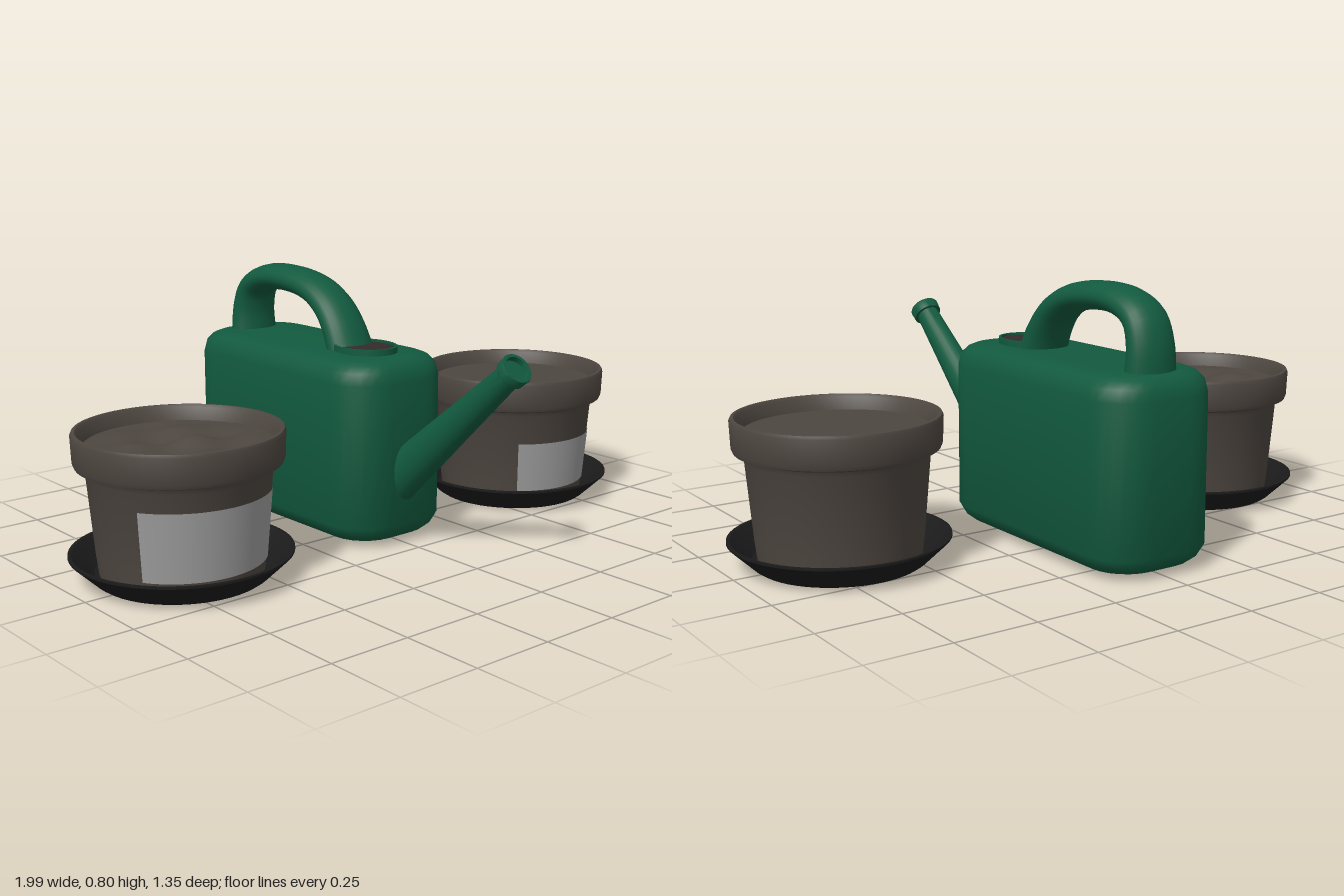
import * as THREE from 'three';
import { toCreasedNormals } from 'three/addons/utils/BufferGeometryUtils.js';

const mat = (name, color) => Object.assign(new THREE.MeshStandardMaterial({ color }), { name });

// Skin a closed tube over equal-sized rings and cap both ends.
function loft(rings, crease = 0.6) {
  const n = rings[0].length, pos = [], idx = [];
  for (const r of rings) for (const p of r) pos.push(p.x, p.y, p.z);
  for (let i = 0; i < rings.length - 1; i++)
    for (let j = 0; j < n; j++) {
      const k = (j + 1) % n, a = i * n, b = a + n;
      idx.push(a + j, a + k, b + k, a + j, b + k, b + j);
    }
  const last = (rings.length - 1) * n;
  for (let j = 1; j < n - 1; j++) {
    idx.push(0, j + 1, j);
    idx.push(last, last + j, last + j + 1);
  }
  const g = new THREE.BufferGeometry();
  g.setAttribute('position', new THREE.Float32BufferAttribute(pos, 3));
  g.setIndex(idx);
  return toCreasedNormals(g, crease);
}

// Rounded rectangle ring at height y, drawn in by an inset.
function roundedRing(y, inset) {
  const hx = 0.195 - inset, hz = 0.44 - inset, r = Math.max(0.13 - inset * 0.5, 0.06);
  const ring = [];
  [[1, 1], [-1, 1], [-1, -1], [1, -1]].forEach(([sx, sz], q) => {
    for (let i = 0; i <= 6; i++) {
      const a = (q + i / 6) * Math.PI / 2;
      ring.push(new THREE.Vector3(
        sx * (hx - r) + r * Math.cos(a), y, -0.24 - sz * (hz - r) - r * Math.sin(a)));
    }
  });
  return ring;
}

// Elliptical sweep along a path in the y-z plane; size(t) gives [half width, half depth].
function sweep(points, size, steps, sides = 24) {
  const curve = new THREE.CatmullRomCurve3(points.map(([z, y]) => new THREE.Vector3(0, y, z)));
  const rings = [];
  for (let i = 0; i <= steps; i++) {
    const t = i / steps, c = curve.getPointAt(t), d = curve.getTangentAt(t), [w, h] = size(t);
    rings.push(Array.from({ length: sides }, (_, j) => {
      const a = j / sides * Math.PI * 2, s = Math.sin(a) * h;
      return new THREE.Vector3(Math.cos(a) * w, c.y + s * d.z, c.z - s * d.y);
    }));
  }
  return loft(rings);
}

function lathe(points, segments = 56) {
  return toCreasedNormals(
    new THREE.LatheGeometry(points.map(([r, y]) => new THREE.Vector2(r, y)), segments), 0.6);
}

export function createModel() {
  const green = mat('can green', 0x125a3f);
  const clay = mat('pot brown', 0x4d4640);
  const black = mat('saucer black', 0x1c1b1b);
  const dark = mat('opening dark', 0x322d2b);
  const label = mat('label grey', 0x9c9c9c);
  label.side = THREE.DoubleSide;

  const model = new THREE.Group();
  const add = (parent, name, geometry, material) => {
    const m = new THREE.Mesh(geometry, material);
    m.name = name;
    parent.add(m);
    return m;
  };

  // Watering can
  const can = new THREE.Group();
  can.name = 'wateringCan';
  model.add(can);
  add(can, 'canBody', loft([
    [0.003, 0.085], [0.018, 0.035], [0.035, 0.015], [0.065, 0], [0.505, 0],
    [0.54, 0.008], [0.56, 0.025], [0.569, 0.045], [0.572, 0.08],
  ].map(([y, i]) => roundedRing(y, i))), green);

  add(can, 'handle', sweep(
    [[-0.065, 0.55], [-0.1, 0.625], [-0.15, 0.688], [-0.23, 0.735], [-0.36, 0.757],
      [-0.48, 0.748], [-0.55, 0.71], [-0.576, 0.64], [-0.577, 0.55]],
    t => {
      const e = Math.abs(t - 0.5) * 2;
      return [0.068 + 0.016 * e * e, 0.042 + 0.012 * e * e];
    }, 40), green);

  // Filler opening with a low collar
  const collar = add(can, 'openingCollar', lathe(
    [[0.09, 0.565], [0.09, 0.591], [0.083, 0.591], [0.083, 0.58]], 40), green);
  const hole = add(can, 'opening', new THREE.CircleGeometry(0.084, 40).rotateX(-Math.PI / 2), dark);
  hole.position.y = 0.584;
  for (const m of [collar, hole]) {
    m.scale.z = 1.22;
    m.position.z = 0;
  }

  // Spout and its hollow tip
  add(can, 'spout', sweep([[0.12, 0.166], [0.38, 0.391], [0.62, 0.598]],
    t => [0.06 - 0.024 * t, 0.075 - 0.039 * t], 12), green);
  const tip = add(can, 'spoutTip', lathe(
    [[0.03, -0.03], [0.046, -0.03], [0.048, 0], [0.046, 0.004], [0.037, 0.004],
      [0.035, -0.012], [0, -0.012]], 32), green);
  tip.position.set(0, 0.612, 0.636);
  tip.rotation.x = Math.atan2(0.436, 0.377);

  // Pots on saucers, with a label wrapped round the front of each
  const pots = [
    { name: 'rightPot', x: -0.675, from: -0.215, to: 0.185, top: 0.262, lumpy: true },
    { name: 'leftPot', x: 0.675, from: -0.165, to: 0.208, top: 0.222, lumpy: false },
  ];
  for (const p of pots) {
    const pot = new THREE.Group();
    pot.name = p.name;
    pot.position.set(p.x, 0, -0.0135);
    model.add(pot);

    add(pot, 'saucer', lathe([[0, 0.004], [0.19, 0.004], [0.2, 0], [0.24, 0], [0.255, 0.01],
      [0.322, 0.074], [0.322, 0.08], [0.312, 0.08], [0.25, 0.022], [0, 0.02]]), black);
    add(pot, 'potBody', lathe([[0, 0.021], [0.236, 0.021], [0.243, 0.08], [0.263, 0.315],
      [0.27, 0.33], [0.293, 0.338], [0.298, 0.35], [0.301, 0.425], [0.297, 0.434],
      [0.288, 0.435], [0.28, 0.427], [0.268, 0.385]]), clay);

    // Soil, gently crumpled in one pot
    const soil = new THREE.RingGeometry(0, 0.274, 40, 14).rotateX(-Math.PI / 2);
    const v = soil.attributes.position;
    if (p.lumpy) for (let i = 0; i < v.count; i++) {
      const x = v.getX(i), z = v.getZ(i), fade = 1 - Math.hypot(x, z) / 0.274;
      v.setY(i, fade * 0.012 * (Math.sin(31 * x + 9 * z) + Math.sin(37 * z - 13 * x + 1)));
    }
    soil.computeVertexNormals();
    add(pot, 'soil', soil, clay).position.y = 0.39;

    const a0 = Math.asin(p.from / 0.25), a1 = Math.asin(p.to / 0.25), y0 = 0.06;
    const radius = y => 0.246 + (y - 0.08) * 0.085;
    const sheet = new THREE.CylinderGeometry(
      radius(p.top), radius(y0), p.top - y0, 24, 1, true, a0, a1 - a0);
    add(pot, 'label', sheet, label).position.y = (p.top + y0) / 2;
  }
  return model;
}
